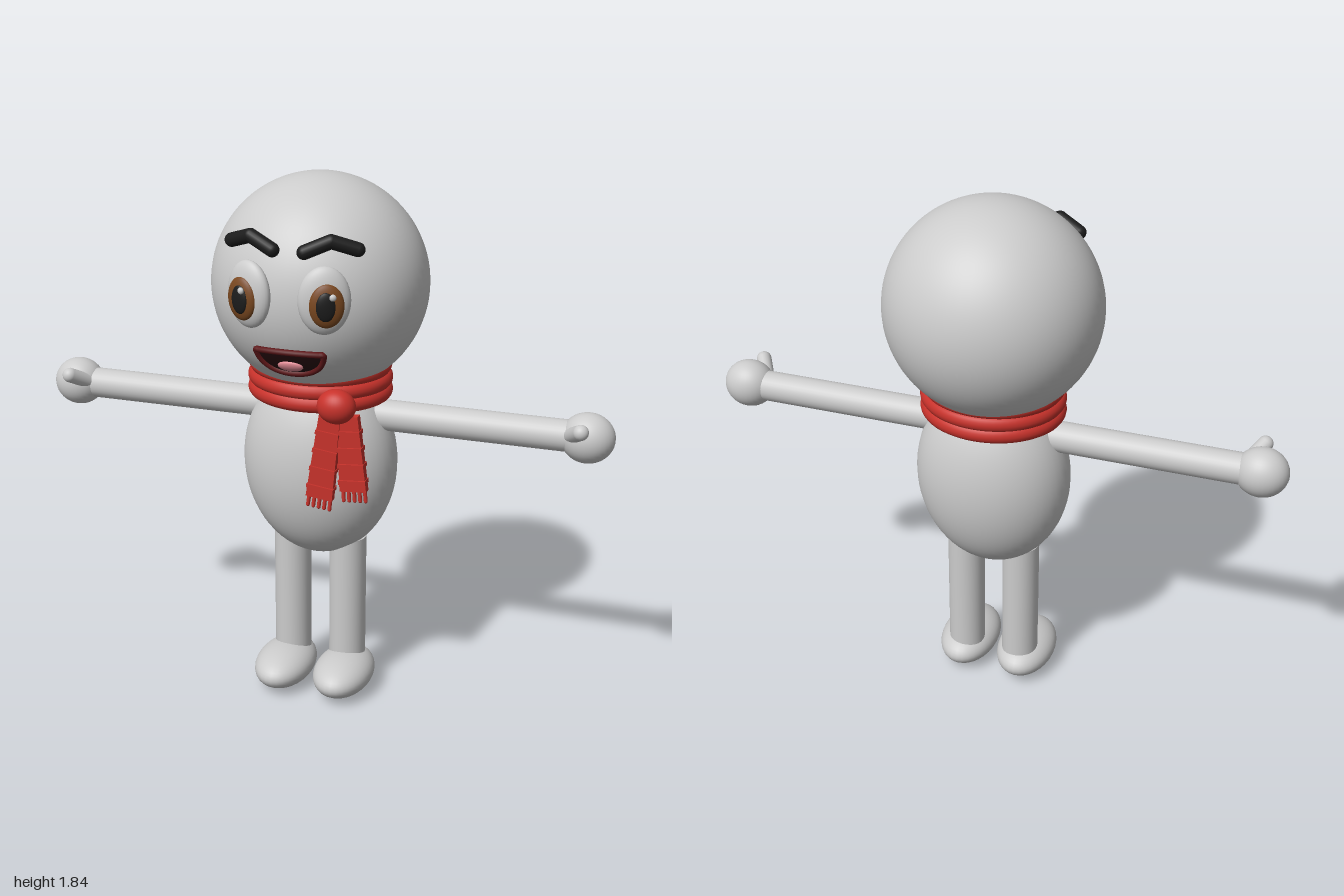
import * as THREE from 'three';

const Z0 = -0.02; // depth of the body axis
const HEAD = { c: new THREE.Vector3(0, 1.482, Z0), r: new THREE.Vector3(0.363, 0.363, 0.35) };
const V = (x, y, z) => new THREE.Vector3(x, y, z);

const mat = (color, side = THREE.FrontSide) => new THREE.MeshStandardMaterial({ color, side });
const M = {
  body: mat(0xcccccc), red: mat(0xc8322b), black: mat(0x1c1c1c), iris: mat(0x7a4820),
  lip: mat(0x5e1618), mouth: mat(0x240a0c, THREE.DoubleSide), tongue: mat(0xe08a94), white: mat(0xffffff),
};

function add(parent, name, geometry, material, pos = [0, 0, 0]) {
  const m = new THREE.Mesh(geometry, material);
  m.name = name;
  m.position.set(...pos);
  parent.add(m);
  return m;
}

function ellipsoid(parent, name, material, pos, radii, seg = 32) {
  return add(parent, name, new THREE.SphereGeometry(1, seg, seg * 0.75).scale(...radii), material, pos);
}

// Rounded rod between two points
function rod(parent, name, material, a, b, r) {
  const dir = b.clone().sub(a);
  const m = add(parent, name, new THREE.CapsuleGeometry(r, dir.length(), 8, 20), material);
  m.position.copy(a).add(b).multiplyScalar(0.5);
  m.quaternion.setFromUnitVectors(V(0, 1, 0), dir.normalize());
  return m;
}

// Point on the front of the head, raised by an offset
function onFace(x, y, lift) {
  const { c, r } = HEAD;
  const k = 1 - (x / r.x) ** 2 - ((y - c.y) / r.y) ** 2;
  return V(x, y, c.z + r.z * Math.sqrt(Math.max(k, 0)) + lift);
}

function buildLimbs(g, s) {
  const side = s > 0 ? 'left' : 'right';
  const arm = add(g, side + 'Arm', new THREE.CylinderGeometry(0.053, 0.053, 0.7, 32), M.body, [s * 0.52, 1.038, Z0]);
  arm.rotation.z = Math.PI / 2;
  ellipsoid(g, side + 'Hand', M.body, [s * 0.911, 1.038, Z0], [0.089, 0.084, 0.078]);
  rod(g, side + 'Thumb', M.body, V(s * 0.865, 1.055, 0.02), V(s * 0.9, 1.088, 0.075), 0.026);
  add(g, side + 'Leg', new THREE.CylinderGeometry(0.065, 0.065, 0.49, 32), M.body, [s * 0.102, 0.333, Z0]);
  ellipsoid(g, side + 'Foot', M.body, [s * 0.11, 0.072, 0.042], [0.104, 0.071, 0.164]);
}

function buildEye(g, s) {
  const side = s > 0 ? 'left' : 'right';
  const eye = new THREE.Group();
  eye.name = side + 'Eye';
  eye.position.set(s * 0.124, 1.513, 0.312);
  eye.rotation.y = s * 0.36;
  ellipsoid(eye, 'eyeball', M.body, [0, 0, 0], [0.083, 0.109, 0.036]);
  ellipsoid(eye, 'iris', M.iris, [s * 0.006, -0.01, 0.027], [0.055, 0.07, 0.021]);
  ellipsoid(eye, 'pupil', M.black, [s * 0.003, -0.01, 0.042], [0.031, 0.046, 0.011]);
  ellipsoid(eye, 'glint', M.white, [s > 0 ? 0.024 : 0.01, 0.022, 0.05], [0.011, 0.011, 0.008], 16);
  g.add(eye);

  // Brow: two rods meeting at a peak
  const brow = new THREE.Group();
  brow.name = side + 'Brow';
  const [inner, peak, outer] = [V(s * 0.052, 1.655, 0.295), V(s * 0.132, 1.69, 0.272), V(s * 0.208, 1.663, 0.238)];
  rod(brow, 'innerBrow', M.black, inner, peak, 0.023);
  rod(brow, 'outerBrow', M.black, peak, outer, 0.023);
  g.add(brow);
}

function buildMouth(g) {
  const mouth = new THREE.Group();
  mouth.name = 'mouth';
  const half = 0.113, lift = 0.01;
  const topY = (u) => 1.332 - 0.004 * u * u;
  const lowY = (u) => topY(u) - 0.085 * Math.sqrt(Math.max(1 - Math.abs(u) ** 2.2, 0));

  // Open grin laid over the curve of the face
  const nu = 32, nv = 8;
  const geo = new THREE.PlaneGeometry(1, 1, nu, nv);
  const p = geo.attributes.position;
  for (let i = 0; i < p.count; i++) {
    const u = p.getX(i) * 2, v = p.getY(i) + 0.5;
    const q = onFace(u * half, THREE.MathUtils.lerp(lowY(u), topY(u), v), lift);
    p.setXYZ(i, q.x, q.y, q.z);
  }
  geo.computeVertexNormals();
  add(mouth, 'mouthOpening', geo, M.mouth);

  // Lips run along the top and back along the lower arc
  const rim = [];
  for (let i = 0; i < 16; i++) rim.push([-1 + i / 8, topY]);
  for (let i = 0; i < 24; i++) rim.push([Math.cos((i / 24) * Math.PI), lowY]);
  const path = new THREE.CatmullRomCurve3(rim.map(([u, f]) => onFace(u * half, f(u), lift)), true);
  add(mouth, 'lips', new THREE.TubeGeometry(path, 120, 0.01, 8, true), M.lip);

  const t = onFace(0, 1.278, 0.01);
  const tongue = ellipsoid(mouth, 'tongue', M.tongue, t.toArray(), [0.043, 0.022, 0.011], 20);
  tongue.rotation.x = 0.6;
  g.add(mouth);
}

// Flat hanging end with ribs and a fringe
function buildTail(scarf, name, x, y, length, tilt, z) {
  const tail = new THREE.Group();
  tail.name = name;
  tail.position.set(x, y, z);
  tail.rotation.z = tilt;
  const wTop = 0.072, wLow = 0.092;
  const shape = new THREE.Shape([
    new THREE.Vector2(-wTop / 2, 0), new THREE.Vector2(-wLow / 2, -length),
    new THREE.Vector2(wLow / 2, -length), new THREE.Vector2(wTop / 2, 0),
  ]);
  const cloth = new THREE.ExtrudeGeometry(shape, { depth: 0.028, bevelEnabled: false }).translate(0, 0, -0.014);
  add(tail, 'cloth', cloth, M.red);
  for (let i = 1; i <= 4; i++) {
    const k = i / 4.6;
    const w = THREE.MathUtils.lerp(wTop, wLow, k) + 0.004;
    add(tail, 'rib', new THREE.BoxGeometry(w, 0.014, 0.042), M.red, [0, -length * k, 0]);
  }
  for (let i = 0; i < 5; i++) {
    const fx = (i - 2) * 0.0185;
    rod(tail, 'fringe', M.red, V(fx, -length + 0.01, 0), V(fx * 1.03, -length - 0.036, 0), 0.0065);
  }
  scarf.add(tail);
}

function buildScarf(g) {
  const scarf = new THREE.Group();
  scarf.name = 'scarf';
  [[1.205, 0.216], [1.16, 0.22], [1.117, 0.22]].forEach(([y, r]) => {
    const ring = new THREE.TorusGeometry(r, 0.028, 16, 64).rotateX(Math.PI / 2).scale(1, 1, 0.885);
    add(scarf, 'wrap', ring, M.red, [0, y, Z0]);
  });
  ellipsoid(scarf, 'knot', M.red, [0.128, 1.13, 0.2], [0.065, 0.058, 0.052]);
  buildTail(scarf, 'frontTail', 0.108, 1.1, 0.3, -0.125, 0.196);
  buildTail(scarf, 'sideTail', 0.165, 1.1, 0.262, 0.085, 0.19);
  g.add(scarf);
}

export function createModel() {
  const g = new THREE.Group();
  g.name = 'scarfFigure';
  ellipsoid(g, 'head', M.body, HEAD.c.toArray(), HEAD.r.toArray(), 64);
  ellipsoid(g, 'torso', M.body, [0, 0.856, Z0], [0.27, 0.345, 0.207], 48);
  for (const s of [1, -1]) {
    buildLimbs(g, s);
    buildEye(g, s);
  }
  buildMouth(g);
  buildScarf(g);
  return g;
}
